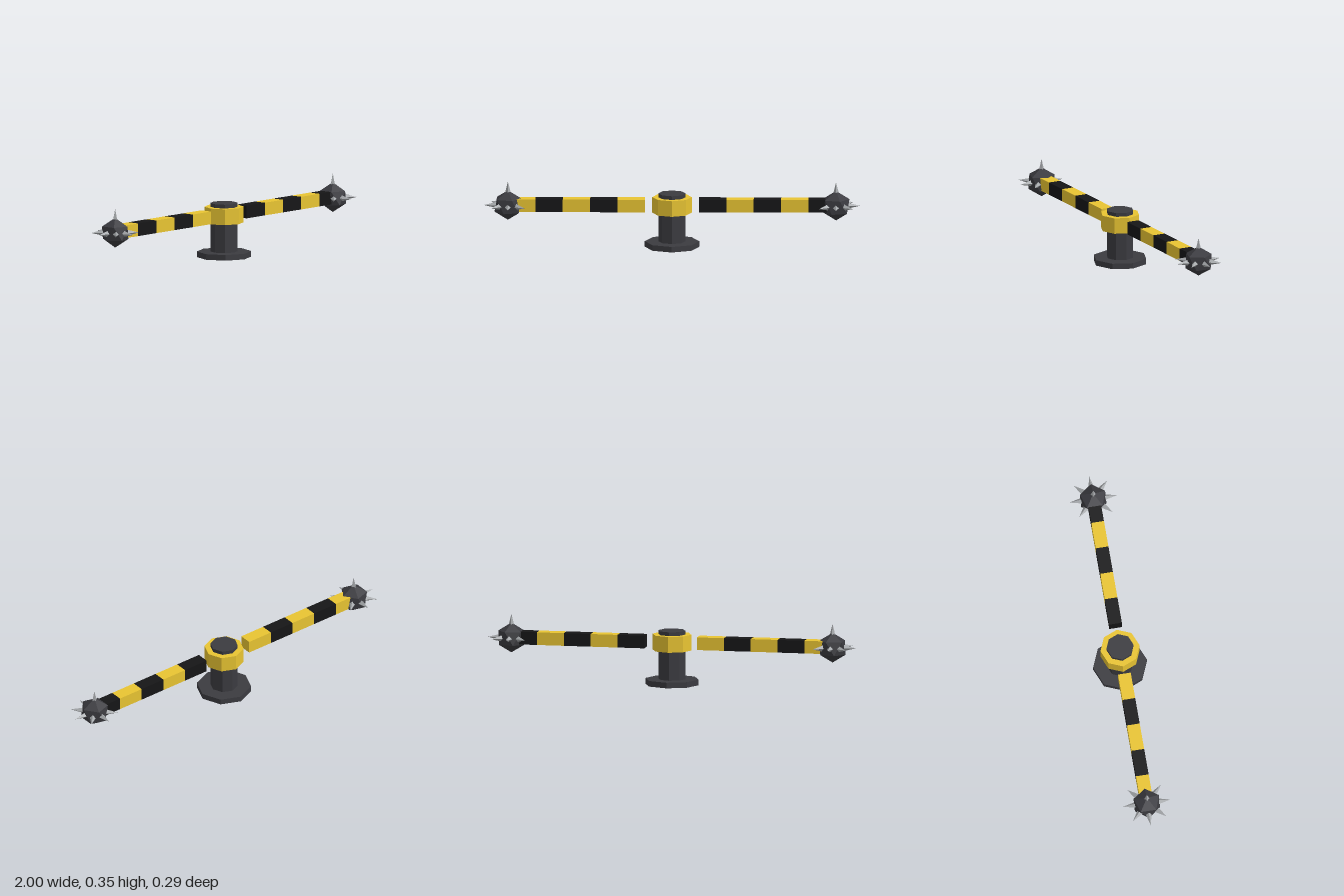
import * as THREE from 'three';

const paint = (color) => new THREE.MeshStandardMaterial({ color, flatShading: true });

export function createModel() {
  const iron = paint(0x3b3b40), black = paint(0x161617);
  const yellow = paint(0xe8c432), steel = paint(0xa6a9ac);
  const model = new THREE.Group();
  model.name = 'spikedSpinner';

  const add = (parent, name, geometry, material, x = 0, y = 0, z = 0) => {
    const mesh = new THREE.Mesh(geometry, material);
    mesh.name = name;
    mesh.position.set(x, y, z);
    parent.add(mesh);
    return mesh;
  };

  // Octagonal stand: foot plate, post and collar
  const octagon = (name, radius, bottom, top, material) =>
    add(model, name, new THREE.CylinderGeometry(radius, radius, top - bottom, 8), material, 0, (bottom + top) / 2);
  octagon('basePlate', 0.145, 0, 0.03, iron);
  octagon('post', 0.073, 0.03, 0.29, iron);
  octagon('collar', 0.105, 0.185, 0.27, yellow);

  // Ball stands on one vertex
  const ballGeometry = new THREE.IcosahedronGeometry(0.08, 0);
  ballGeometry.rotateZ(-Math.atan(2 / (1 + Math.sqrt(5))));

  // Four-sided spike, running outwards from just inside the ball
  const spikeStart = 0.06, spikeTip = 0.128;
  const spikeGeometry = new THREE.ConeGeometry(0.0168, spikeTip - spikeStart, 4);
  spikeGeometry.translate(0, (spikeStart + spikeTip) / 2, 0);

  const segments = 5, armStart = 0.143, ballX = 0.872;
  const step = (ballX - armStart) / segments;
  for (const side of [-1, 1]) {
    const label = side > 0 ? 'left' : 'right';

    // Striped arm, with the stripe order swapped between the sides
    const arm = new THREE.Group();
    arm.name = label + 'Arm';
    model.add(arm);
    for (let i = 0; i < segments; i++) {
      const isYellow = (i % 2 === 0) === (side < 0);
      add(arm, 'stripe', new THREE.BoxGeometry(step, 0.068, 0.068), isYellow ? yellow : black,
        side * (armStart + step * (i + 0.5)), 0.228, 0);
    }

    // Spiked ball at the end of the arm
    const mace = new THREE.Group();
    mace.name = label + 'SpikedBall';
    mace.position.set(side * ballX, 0.225, 0);
    model.add(mace);
    add(mace, 'ball', ballGeometry, iron);
    add(mace, 'topSpike', spikeGeometry, steel);

    // Ring of spikes, leaving out the one towards the arm
    for (let k = -3; k <= 3; k++) {
      const spike = add(mace, 'sideSpike', spikeGeometry, steel);
      spike.rotation.order = 'YXZ';
      spike.rotation.set(0, k * Math.PI / 4 + (side < 0 ? Math.PI : 0), -Math.PI / 2);
    }
  }
  return model;
}
